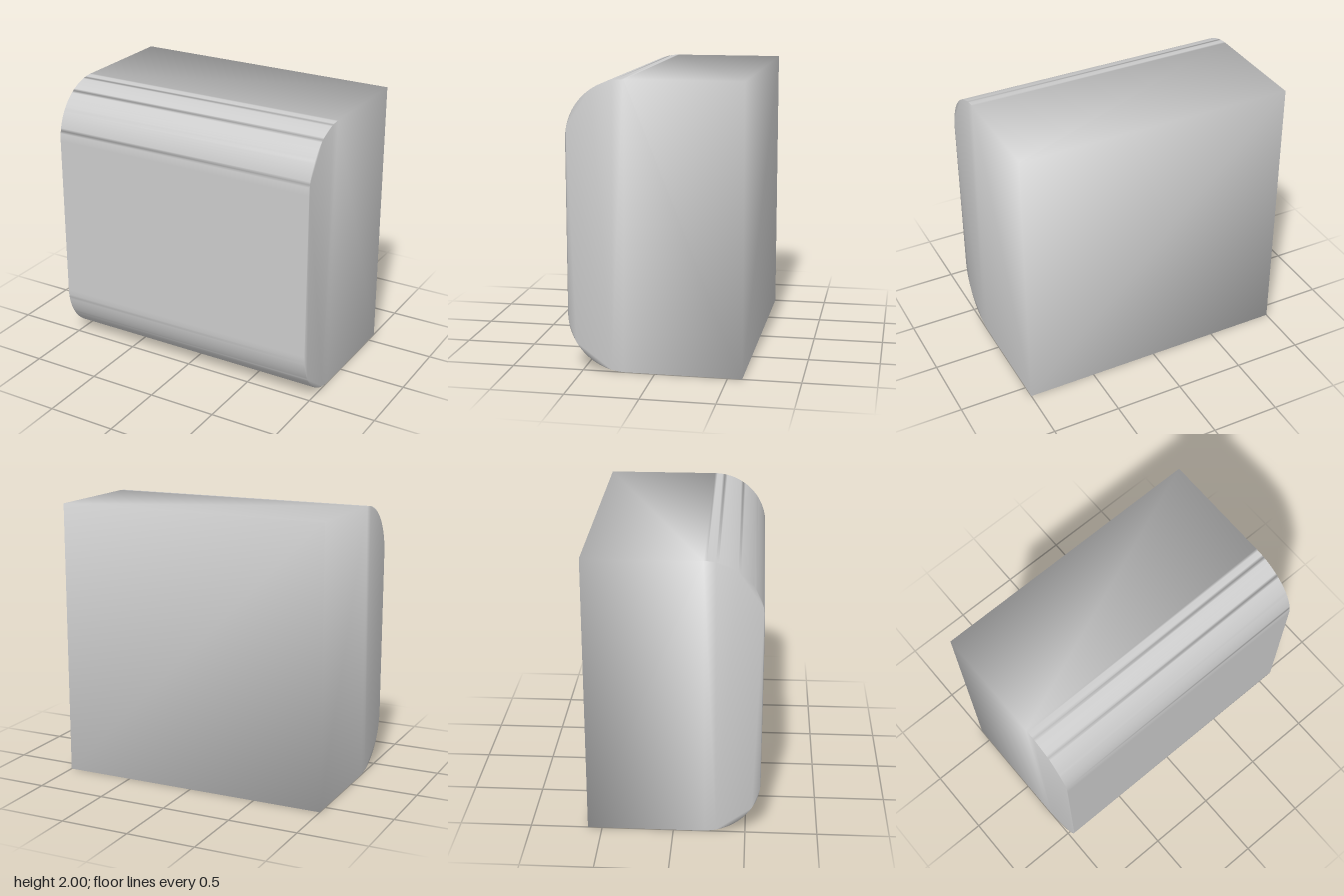
import * as THREE from 'three';
import { mergeVertices } from 'three/addons/utils/BufferGeometryUtils.js';

const WIDTH = 2, HEIGHT = 2, DEPTH = 1.2, RADIUS = 0.4;

// Side profile (shape x = depth, shape y = height) with both front edges rounded
function sideProfile() {
  const f = DEPTH / 2;
  const s = new THREE.Shape();
  s.moveTo(-f, 0);
  s.lineTo(f - RADIUS, 0);
  s.absarc(f - RADIUS, RADIUS, RADIUS, -Math.PI / 2, 0, false);
  s.lineTo(f, HEIGHT - RADIUS);
  s.absarc(f - RADIUS, HEIGHT - RADIUS, RADIUS, 0, Math.PI / 2, false);
  s.lineTo(-f, HEIGHT);
  s.closePath();
  return s;
}

export function createModel() {
  const group = new THREE.Group();
  group.name = 'roundedBlock';

  // Extrude across the width, then turn the profile's x axis to face +z
  let geometry = new THREE.ExtrudeGeometry(sideProfile(), {
    depth: WIDTH, bevelEnabled: false, curveSegments: 16,
  });
  geometry.translate(0, 0, -WIDTH / 2);
  geometry.rotateY(-Math.PI / 2);

  // Share vertices so the shading is smooth over the whole block
  geometry.deleteAttribute('normal');
  geometry.deleteAttribute('uv');
  geometry = mergeVertices(geometry, 1e-4);
  geometry.computeVertexNormals();

  const block = new THREE.Mesh(geometry, new THREE.MeshStandardMaterial({ color: 0xcccccc }));
  block.name = 'block';
  group.add(block);
  return group;
}
